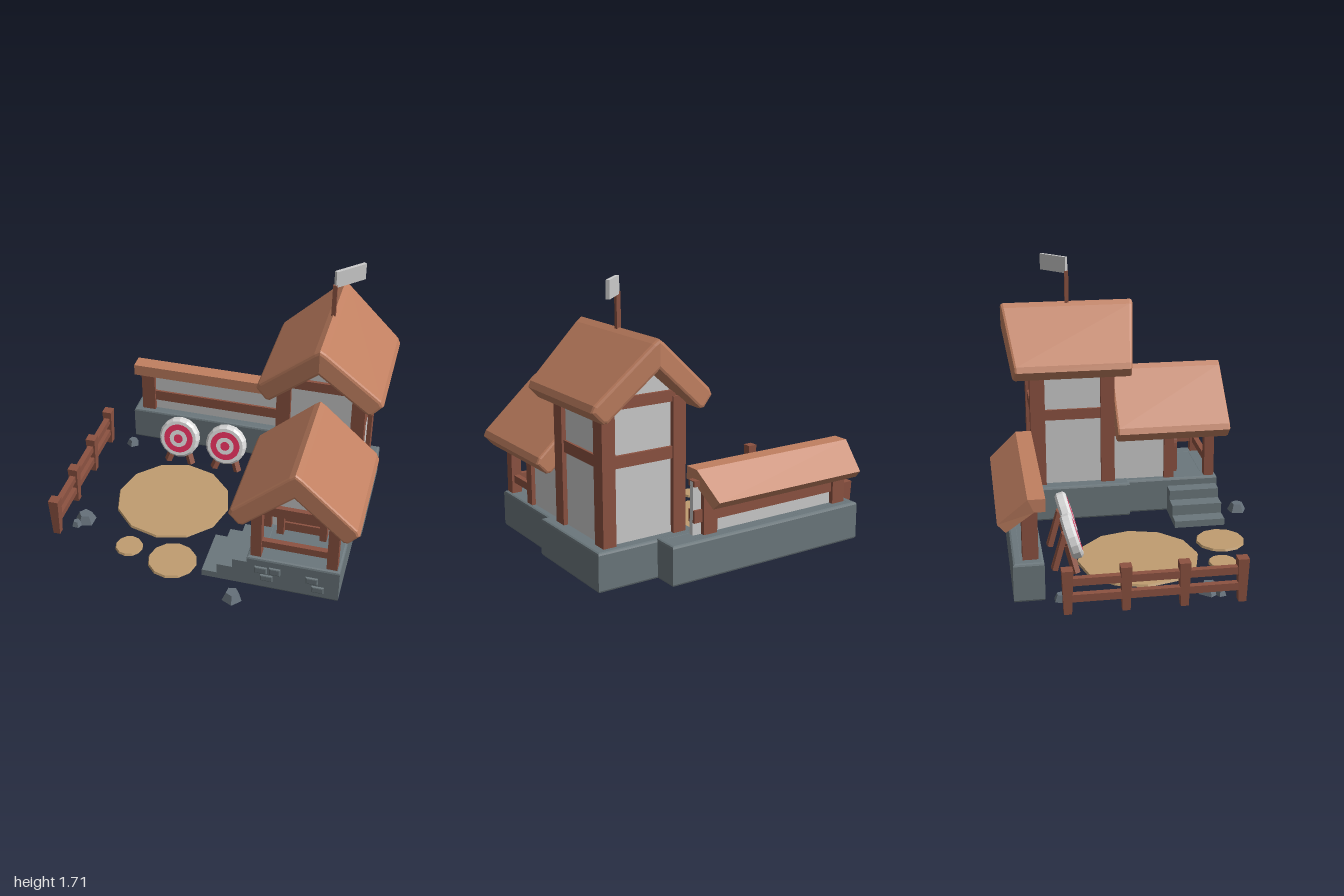
import * as THREE from 'three';

const mat = (name, color) => Object.assign(new THREE.MeshStandardMaterial({ color }), { name });

export function createModel() {
  const model = new THREE.Group();
  model.name = 'archeryRange';
  const wood = mat('wood', 0x8c5241), tile = mat('roofClay', 0xc07f60), stone = mat('stone', 0x6b777c);
  const plaster = mat('plaster', 0xcbcbcb), sand = mat('sand', 0xc09d70), rock = mat('rock', 0x65707a);
  const red = mat('targetRed', 0xe2305c), white = mat('targetWhite', 0xdcdcdc);

  const add = (name, geo, material, parent = model) => {
    const m = new THREE.Mesh(geo, material);
    m.name = name;
    parent.add(m);
    return m;
  };
  // box from min/max corners
  const box = (name, material, x0, x1, y0, y1, z0, z1) => {
    const m = add(name, new THREE.BoxGeometry(x1 - x0, y1 - y0, z1 - z0), material);
    m.position.set((x0 + x1) / 2, (y0 + y1) / 2, (z0 + z1) / 2);
    return m;
  };
  // square bar between two points
  const bar = (name, a, b, size) => {
    const p = new THREE.Vector3(...a), q = new THREE.Vector3(...b);
    const m = add(name, new THREE.BoxGeometry(size, size, p.distanceTo(q)), wood);
    m.position.copy(p).add(q).multiplyScalar(0.5);
    m.lookAt(q);
    return m;
  };
  const poly = pts => new THREE.Shape(pts.map(p => new THREE.Vector2(...p)));
  const rect = (x0, x1, y0, y1) => [[x0, y0], [x1, y0], [x1, y1], [x0, y1]];
  const extrude = (shape, depth, bevel = 0) => {
    const g = new THREE.ExtrudeGeometry(shape, {
      depth: depth - 2 * bevel, bevelEnabled: bevel > 0, bevelSize: bevel, bevelThickness: bevel,
      bevelOffset: -bevel, bevelSegments: 2, curveSegments: 10,
    });
    return g.translate(0, 0, bevel);
  };
  // move vertices by a rule, then restore flat normals
  const reshape = (g, rule) => {
    const p = g.attributes.position, v = new THREE.Vector3();
    for (let i = 0; i < p.count; i++) {
      rule(v.fromBufferAttribute(p, i));
      p.setXYZ(i, v.x, v.y, v.z);
    }
    g.computeVertexNormals();
    return g;
  };

  // hollow stone bases with bevelled edges
  const base = (name, x0, x1, z0, z1, top, rim) => {
    const s = poly(rect(x0, x1, -z1, -z0));
    s.holes.push(new THREE.Path(rect(x0 + rim, x1 - rim, -z1 + rim, -z0 - rim).map(p => new THREE.Vector2(...p))));
    add(name, extrude(s, top - 0.01, 0.014).rotateX(-Math.PI / 2).translate(0, 0.01, 0), stone);
    const r = rim - 0.025;
    box(name + 'Floor', stone, x0 + r, x1 - r, top - 0.1, top - 0.001, z0 + r, z1 - r);
  };
  base('towerBase', 0.28, 0.94, -0.625, 0.06, 0.245, 0.11);
  base('porchBase', 0.325, 0.895, 0.0, 0.66, 0.243, 0.11);
  base('wallBase', -0.81, 0.555, -0.78, -0.6, 0.25, 0.06);

  // side steps up to the porch
  [0.055, 0.125, 0.19].forEach((h, i) =>
    box('step', stone, 0.04 + i * 0.097, 0.34, 0.01, h, 0.32, 0.65));

  // raised stones on the base front
  [[0.415, 0.157, 0.078, 0.05], [0.502, 0.162, 0.07, 0.052], [0.452, 0.1, 0.078, 0.045],
    [0.73, 0.145, 0.075, 0.05], [0.768, 0.082, 0.075, 0.047]].forEach(([x, y, w, h]) => {
    const g = extrude(poly(rect(x - w / 2, x + w / 2, y - h / 2, y + h / 2)), 0.03, 0.008);
    add('faceStone', g.translate(0, 0, 0.642), stone);
  });

  const cx = 0.61;
  // plaster body with a gable top
  const house = (name, half, y0, eave, apex, z0, z1) => {
    const s = poly([[cx - half, y0], [cx + half, y0], [cx + half, eave], [cx, apex], [cx - half, eave]]);
    add(name, extrude(s, z1 - z0).translate(0, 0, z0), plaster);
  };
  house('towerWalls', 0.245, 0.235, 1.05, 1.28, -0.555, -0.065);
  house('porchRoomWalls', 0.24, 0.235, 0.605, 0.835, -0.07, 0.335);
  house('porchGable', 0.23, 0.6, 0.61, 0.83, 0.585, 0.605);

  // timber frame
  for (const s of [-1, 1]) {
    const span = (a, b) => (s > 0 ? [cx + a, cx + b] : [cx - b, cx - a]);
    const post = span(0.19, 0.273), thin = span(0.2, 0.265);
    box('towerPost', wood, ...post, 0.24, 1.05, -0.125, -0.035);
    box('towerPost', wood, ...post, 0.24, 1.05, -0.585, -0.49);
    box('towerSideBeam', wood, ...span(0.2, 0.26), 0.69, 0.76, -0.5, -0.1);
    box('towerEaveBeam', wood, ...span(0.2, 0.26), 0.985, 1.05, -0.5, -0.1);
    box('porchPost', wood, ...thin, 0.24, 0.62, 0.575, 0.64);
    box('porchRoomPost', wood, ...thin, 0.24, 0.62, 0.3, 0.365);
    box('porchEaveBeam', wood, ...span(0.21, 0.26), 0.56, 0.62, -0.05, 0.6);
  }
  for (const [z0, z1] of [[-0.115, -0.045], [-0.575, -0.5]]) {
    box('towerCrossBeam', wood, 0.4, 0.82, 0.69, 0.76, z0, z1);
    box('towerGableBeam', wood, 0.4, 0.82, 1.02, 1.085, z0, z1);
  }
  box('porchFrontBeam', wood, 0.4, 0.82, 0.575, 0.64, 0.58, 0.635);
  box('frontRail', wood, 0.4, 0.82, 0.312, 0.36, 0.59, 0.625);
  box('sideRail', wood, 0.825, 0.86, 0.312, 0.36, 0.33, 0.6);

  // arched door and its frame
  const arch = (r, y, C) => {
    const p = new C();
    p.moveTo(cx + r, 0.24);
    p.lineTo(cx + r, y);
    p.absarc(cx, y, r, 0, Math.PI, false);
    p.lineTo(cx - r, 0.24);
    p.closePath();
    return p;
  };
  const frame = arch(0.155, 0.42, THREE.Shape);
  frame.holes.push(arch(0.112, 0.42, THREE.Path));
  add('doorFrame', extrude(frame, 0.08).translate(0, 0, 0.33), wood);
  add('door', extrude(arch(0.114, 0.42, THREE.Shape), 0.04).translate(0, 0, 0.325), wood);
  for (const y of [0.28, 0.42]) box('doorStrap', wood, cx - 0.11, cx + 0.11, y, y + 0.035, 0.36, 0.378);

  // thick gabled roofs with rounded edges
  const half = [[0.035, 1.395], [0.37, 1.092], [0.387, 1.055], [0.325, 0.988], [0.295, 0.988]];
  const roof = (name, drop, z0, z1, bevel, taper) => {
    const right = half.map(([x, y]) => [x, y - drop]);
    const left = right.map(([x, y]) => [-x, y]).reverse();
    const g = extrude(poly([[0, 1.25 - drop], ...left, [0, 1.42 - drop], ...right]
      .reverse()), z1 - z0, bevel).translate(0, 0, (z0 - z1) / 2);
    reshape(g, v => { v.z *= 1 - taper * Math.abs(v.x) / 0.385; });
    add(name, g.translate(cx, 0, (z0 + z1) / 2), tile);
  };
  roof('towerRoof', 0, -0.745, 0.125, 0.018, 0.14);
  roof('porchRoof', 0.446, -0.03, 0.722, 0.015, 0);

  // flag on the ridge
  box('flagPole', wood, 0.597, 0.623, 1.36, 1.62, -0.323, -0.297);
  const flag = add('flag', new THREE.BoxGeometry(0.215, 0.105, 0.022).translate(0.1075, 0, 0), plaster);
  flag.position.set(0.608, 1.658, -0.308);
  flag.rotation.y = Math.PI / 4;

  // back wall with its lean-to roof
  box('backWallPanel', plaster, -0.7, 0.36, 0.05, 0.57, -0.69, -0.66);
  for (const x of [-0.755, 0.21]) box('backWallPost', wood, x, x + 0.093, 0.24, 0.56, -0.72, -0.63);
  box('backWallRail', wood, -0.7, 0.36, 0.325, 0.4, -0.705, -0.645);
  box('backWallTopBeam', wood, -0.7, 0.36, 0.54, 0.575, -0.705, -0.645);
  const lean = poly([[0.585, 0.555], [0.65, 0.555], [0.81, 0.43], [0.857, 0.478], [0.685, 0.633], [0.585, 0.633]]);
  const leanRoof = extrude(lean, 1.12).translate(0, 0, -0.56).rotateY(Math.PI / 2);
  reshape(leanRoof, v => { v.x *= 1 - 0.0625 * Math.max(0, (-v.z - 0.685) / 0.172); });
  add('backWallRoof', leanRoof.translate(-0.23, 0, 0), tile);

  // archery targets on tripods
  const rim = [[0, -0.035], [0.125, -0.035], [0.14, -0.02], [0.14, 0.02], [0.125, 0.035], [0, 0.035]];
  for (const x of [-0.415, -0.083]) {
    const t = new THREE.Group();
    t.name = 'target';
    t.position.set(x, 0.218, -0.405);
    t.rotation.x = -0.29;
    const disc = new THREE.LatheGeometry(rim.map(p => new THREE.Vector2(...p)), 16).rotateX(Math.PI / 2).toNonIndexed();
    disc.computeVertexNormals();
    add('targetDisc', disc, white, t);
    [[0.102, red], [0.062, white], [0.032, red]].forEach(([r, m], i) =>
      add('targetRing', new THREE.CircleGeometry(r, 24).translate(0, 0, 0.037 + i * 0.002), m, t));
    model.add(t);
    for (const s of [-1, 1]) {
      bar('targetLeg', [x + s * 0.03, 0.17, -0.43], [x + s * 0.085, 0.012, -0.39], 0.038);
      bar('targetBackLeg', [x + s * 0.01, 0.24, -0.45], [x + s * 0.02, 0.012, -0.515], 0.034);
    }
  }

  // fence with posts that widen upward
  for (const z of [-0.49, -0.16, 0.173, 0.508]) {
    const post = new THREE.CylinderGeometry(0.046, 0.032, 0.27, 4).rotateY(Math.PI / 4).toNonIndexed();
    post.computeVertexNormals();
    add('fencePost', post, wood).position.set(-0.968, 0.147, z);
  }
  for (const y of [0.085, 0.185]) box('fenceRail', wood, -0.988, -0.95, y, y + 0.045, -0.49, 0.508);

  // sand patches
  [[-0.34, 0.01, 0.38], [-0.175, 0.57, 0.157], [-0.48, 0.515, 0.09]].forEach(([x, z, r]) => {
    const g = new THREE.CylinderGeometry(r - 0.006, r, 0.014, 12).toNonIndexed();
    g.computeVertexNormals();
    add('sandPatch', g, sand).position.set(x, 0.007, z);
  });

  // loose rocks
  [[-0.8, -0.51, 0.046, 0.04], [-0.835, 0.35, 0.07, 0.058], [-0.875, 0.41, 0.036, 0.035],
    [0.27, 0.79, 0.064, 0.055]].forEach(([x, z, r, h], i) => {
    const g = new THREE.CylinderGeometry(r * 0.6, r, h, 5).rotateY(i * 0.9).toNonIndexed();
    g.computeVertexNormals();
    add('rock', g, rock).position.set(x, h / 2 + 0.005, z);
  });

  return model;
}
